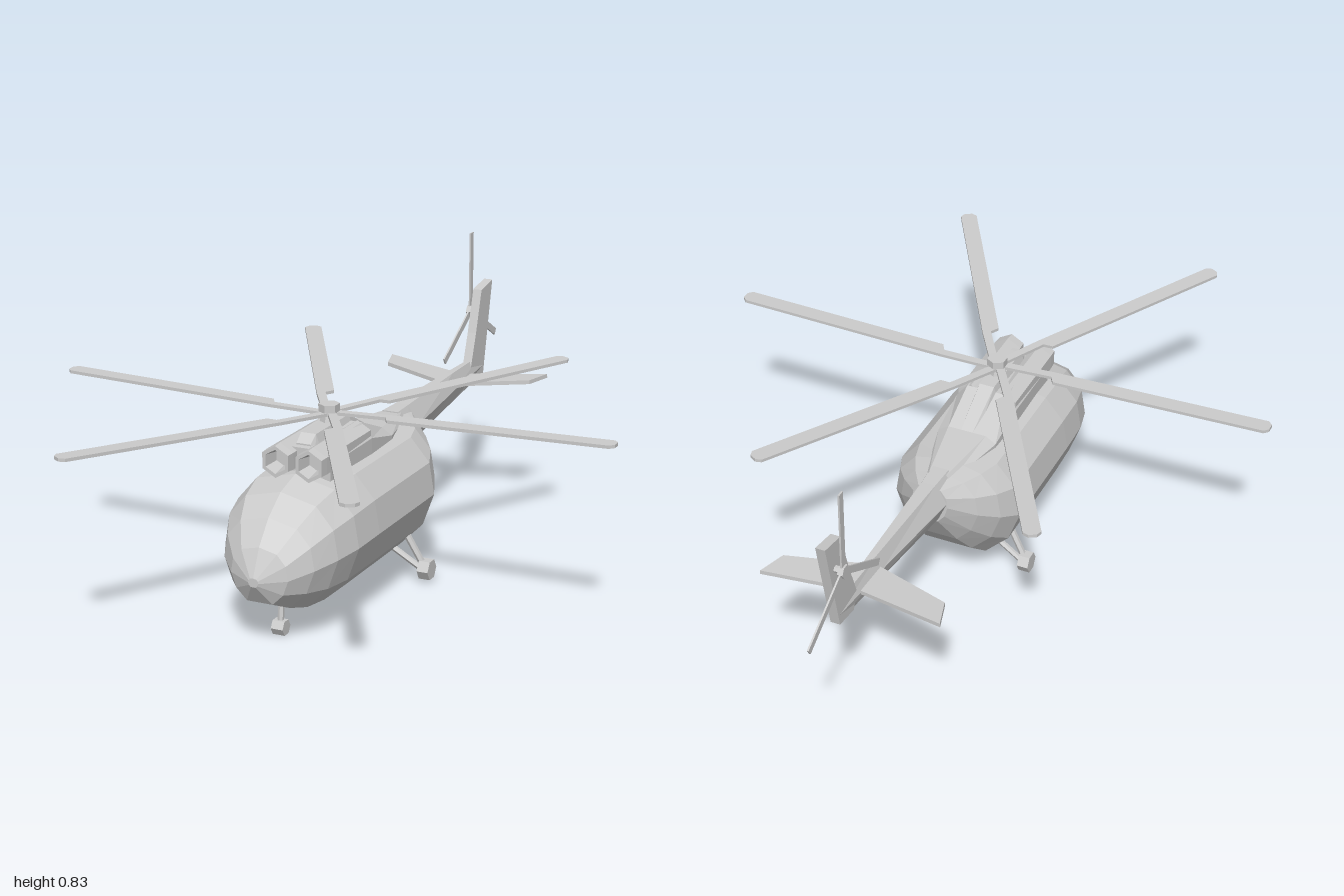
import * as THREE from 'three';

const material = new THREE.MeshStandardMaterial({ color: 0xcccccc, flatShading: true, side: THREE.DoubleSide });

function add(parent, name, geometry, x = 0, y = 0, z = 0) {
  const mesh = new THREE.Mesh(geometry, material);
  mesh.name = name;
  mesh.position.set(x, y, z);
  parent.add(mesh);
  return mesh;
}

// Skins a half outline [u, v] (bottom to top, +x side) through stations [z, bottom, top, halfWidth]
function loft(half, stations) {
  const mirrored = half.filter(p => p[0] > 0).reverse().map(([u, v]) => [-u, v]);
  const outline = [...half, ...mirrored];
  const rings = stations.map(([z, bottom, top, w]) =>
    outline.map(([u, v]) => [u * w, bottom + v * (top - bottom), z]));
  const pos = [];
  const n = outline.length;
  const tri = (...pts) => pts.forEach(p => pos.push(...p));
  for (let i = 0; i < rings.length - 1; i++) {
    for (let j = 0; j < n; j++) {
      const k = (j + 1) % n;
      const a = rings[i][j], b = rings[i][k], c = rings[i + 1][k], d = rings[i + 1][j];
      tri(a, d, c);
      tri(a, c, b);
    }
  }
  const first = rings[0], last = rings[rings.length - 1];
  for (let j = 1; j < n - 1; j++) {
    tri(first[0], first[j], first[j + 1]);
    tri(last[0], last[j + 1], last[j]);
  }
  const geometry = new THREE.BufferGeometry();
  geometry.setAttribute('position', new THREE.Float32BufferAttribute(pos, 3));
  geometry.computeVertexNormals();
  return geometry;
}

// Flat plate from a 2D outline, centred on its thickness
function plate(points, depth) {
  const shape = new THREE.Shape(points.map(p => new THREE.Vector2(...p)));
  return new THREE.ExtrudeGeometry(shape, { depth, bevelEnabled: false }).translate(0, 0, -depth / 2);
}

// Thin rod between two points
function rod(parent, name, from, to, radius) {
  const a = new THREE.Vector3(...from), b = new THREE.Vector3(...to);
  const mesh = add(parent, name, new THREE.CylinderGeometry(radius, radius, a.distanceTo(b), 6));
  mesh.position.copy(a).add(b).multiplyScalar(0.5);
  mesh.quaternion.setFromUnitVectors(new THREE.Vector3(0, 1, 0), b.sub(a).normalize());
}

function wheel(parent, name, radius, width, x, y, z) {
  add(parent, name, new THREE.CylinderGeometry(radius, radius, width, 6).rotateZ(Math.PI / 2), x, y, z);
}

export function createModel() {
  const model = new THREE.Group();
  model.name = 'helicopter';

  // Rounded cabin, lofted from nose to tail joint
  const cabinOutline = [[0.45, 0], [0.82, 0.2], [1, 0.47], [0.92, 0.73], [0.62, 0.92], [0, 1]];
  add(model, 'fuselage', loft(cabinOutline, [
    [0.725, 0.19, 0.215, 0.015],
    [0.69, 0.135, 0.29, 0.085],
    [0.635, 0.11, 0.355, 0.135],
    [0.565, 0.09, 0.405, 0.17],
    [0.48, 0.083, 0.43, 0.19],
    [0.36, 0.083, 0.44, 0.195],
    [0.0, 0.083, 0.44, 0.195],
    [-0.07, 0.14, 0.44, 0.165],
    [-0.13, 0.21, 0.435, 0.12],
    [-0.195, 0.31, 0.43, 0.055],
  ]));

  // Tapering tail boom
  const boomOutline = [[0.5, 0], [1, 0.5], [0.4, 1]];
  add(model, 'tailBoom', loft(boomOutline, [
    [-0.12, 0.31, 0.44, 0.06],
    [-0.2, 0.32, 0.44, 0.052],
    [-0.55, 0.357, 0.445, 0.027],
    [-0.78, 0.38, 0.445, 0.014],
  ]));

  // Swept tail fin; outline given as [-z, y]
  add(model, 'tailFin', plate(
    [[0.68, 0.42], [0.72, 0.53], [0.76, 0.66], [0.845, 0.675], [0.78, 0.38], [0.7, 0.37]], 0.028,
  ).rotateY(Math.PI / 2));

  // Horizontal stabilisers, slightly raised at the tips
  for (const side of [1, -1]) {
    const stabiliser = add(model, side > 0 ? 'leftStabiliser' : 'rightStabiliser', plate(
      [[0, 0.55], [0.24 * side, 0.635], [0.265 * side, 0.72], [0, 0.665]], 0.012,
    ).rotateX(-Math.PI / 2), -0.01, 0.405, 0);
    stabiliser.rotation.z = 0.065 * side;
  }

  // Engine deck behind and between the engines
  add(model, 'engineCowling', loft([[1, 0], [1, 0.6], [0.65, 1]], [
    [0.45, 0.4, 0.495, 0.09],
    [0.2, 0.4, 0.505, 0.095],
    [0.06, 0.4, 0.45, 0.09],
    [-0.14, 0.39, 0.435, 0.04],
  ]));
  add(model, 'rotorFairing', loft([[1, 0], [1, 0.4], [0.6, 1]], [
    [0.43, 0.45, 0.5, 0.035],
    [0.4, 0.45, 0.522, 0.038],
    [0.2, 0.45, 0.522, 0.038],
    [0.06, 0.42, 0.45, 0.03],
  ]));

  // Twin engines with hollow intakes
  const intake = [[0, 0.24], [0.025, 0.25], [0.034, 0.3], [0.045, 0.3], [0.047, 0.27], [0.047, 0], [0, 0]];
  for (const side of [1, -1]) {
    add(model, side > 0 ? 'leftEngine' : 'rightEngine',
      new THREE.LatheGeometry(intake.map(p => new THREE.Vector2(...p)).reverse(), 6).rotateX(Math.PI / 2),
      0.05 * side, 0.462, 0.2);
  }

  // Main rotor: six coned blades on narrow arms
  const rotor = new THREE.Group();
  rotor.name = 'mainRotor';
  rotor.position.set(0, 0.545, 0.275);
  model.add(rotor);
  add(rotor, 'mast', new THREE.CylinderGeometry(0.02, 0.034, 0.055, 6), 0, -0.025, 0);
  add(rotor, 'hub', new THREE.CylinderGeometry(0.03, 0.03, 0.03, 6), 0, 0.012, 0);
  const bladeOutline = [[0, -0.006], [0.17, 0], [0.185, -0.025], [0.82, -0.025], [0.833, -0.012],
    [0.833, 0.012], [0.82, 0.025], [0.17, 0.025], [0, 0.018]];
  const blade = plate(bladeOutline, 0.009).rotateX(-Math.PI / 2).rotateZ(0.026);
  for (let i = 0; i < 6; i++) {
    add(rotor, 'rotorBlade', blade).rotation.y = i * Math.PI / 3;
  }

  // Tail rotor on the right of the fin
  const tailRotor = new THREE.Group();
  tailRotor.name = 'tailRotor';
  tailRotor.position.set(-0.037, 0.58, -0.795);
  model.add(tailRotor);
  add(tailRotor, 'tailRotorHub', new THREE.CylinderGeometry(0.02, 0.02, 0.016, 6).rotateZ(Math.PI / 2));
  rod(tailRotor, 'tailRotorShaft', [0, 0, 0], [0.037, 0, 0], 0.01);
  for (let i = 0; i < 3; i++) {
    const length = i === 0 ? 0.25 : 0.232;
    add(tailRotor, 'tailRotorBlade',
      new THREE.BoxGeometry(0.005, length, 0.021).translate(0, length / 2, 0)).rotation.x = i * Math.PI * 2 / 3;
  }

  // Landing gear: nose wheel and two braced main wheels
  wheel(model, 'noseWheel', 0.023, 0.036, 0, 0.024, 0.575);
  rod(model, 'noseStrut', [0, 0.03, 0.575], [0, 0.11, 0.565], 0.009);
  for (const side of [1, -1]) {
    wheel(model, side > 0 ? 'leftWheel' : 'rightWheel', 0.031, 0.034, 0.196 * side, 0.042, 0.052);
    rod(model, 'mainStrut', [0.19 * side, 0.05, 0.055], [0.135 * side, 0.15, 0.065], 0.01);
    rod(model, 'mainBrace', [0.185 * side, 0.038, 0.052], [0.085 * side, 0.1, 0.06], 0.009);
  }

  return model;
}
